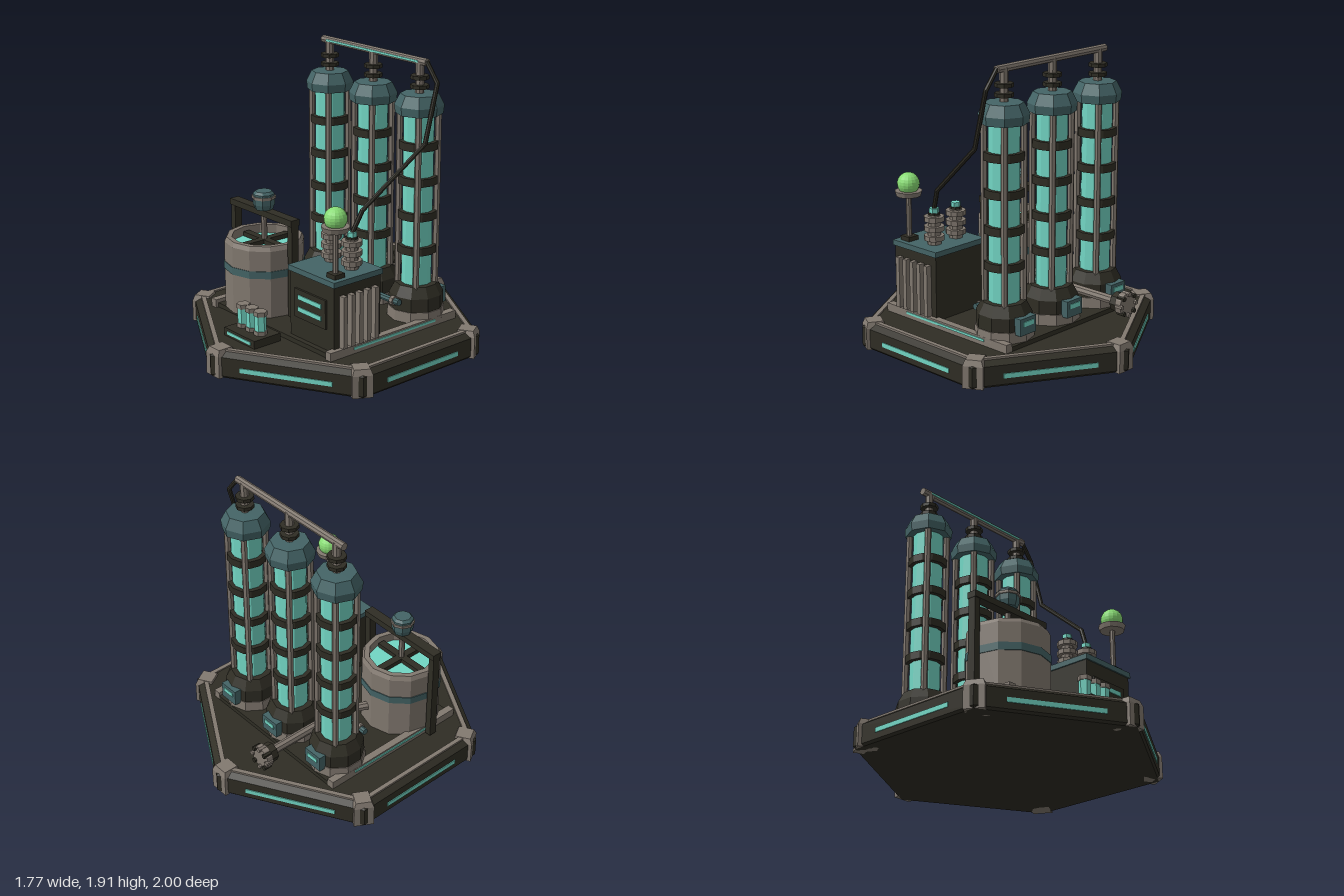
import * as THREE from 'three';

const mat = (name, color) => {
  const m = new THREE.MeshStandardMaterial({ color, flatShading: true });
  m.name = name;
  return m;
};

export function createModel() {
  const dark = mat('dark iron', 0x2f2d24);
  const grey = mat('warm grey metal', 0x827970);
  const slate = mat('slate teal', 0x446466);
  const glow = mat('glowing teal', 0x72d6c4);
  const green = mat('lamp green', 0x88dc74);

  const model = new THREE.Group();
  model.name = 'reactorStation';

  // ---- helpers
  const group = (name, parent, x = 0, y = 0, z = 0, ry = 0) => {
    const g = new THREE.Group();
    g.name = name;
    g.position.set(x, y, z);
    g.rotation.y = ry;
    parent.add(g);
    return g;
  };
  const add = (parent, name, geo, m, x = 0, y = 0, z = 0) => {
    const mesh = new THREE.Mesh(geo, m);
    mesh.name = name;
    mesh.position.set(x, y, z);
    parent.add(mesh);
    return mesh;
  };
  const box = (p, name, m, w, h, d, x, y, z) => add(p, name, new THREE.BoxGeometry(w, h, d), m, x, y, z);
  // vertical cylinder between heights y0 and y1
  const cyl = (p, name, m, r0, r1, y0, y1, sides, x = 0, z = 0) =>
    add(p, name, new THREE.CylinderGeometry(r1, r0, y1 - y0, sides), m, x, (y0 + y1) / 2, z);
  const lathe = (p, name, m, pts, sides, x = 0, y = 0, z = 0) =>
    add(p, name, new THREE.LatheGeometry(pts.map(([r, h]) => new THREE.Vector2(r, h)), sides), m, x, y, z);
  // straight rod between two points
  const rod = (p, name, m, a, b, r, sides = 8) => {
    const A = new THREE.Vector3(...a), B = new THREE.Vector3(...b);
    const mesh = add(p, name, new THREE.CylinderGeometry(r, r, A.distanceTo(B), sides), m);
    mesh.position.copy(A).lerp(B, 0.5);
    mesh.quaternion.setFromUnitVectors(new THREE.Vector3(0, 1, 0), B.sub(A).normalize());
    return mesh;
  };
  // bent pipe with a ball at each bend
  const pipe = (p, name, m, pts, r) => {
    for (let i = 1; i < pts.length; i++) {
      rod(p, name, m, pts[i - 1], pts[i], r);
      if (i < pts.length - 1) add(p, name + 'Joint', new THREE.SphereGeometry(r, 8, 6), m, ...pts[i]);
    }
  };

  // ---- hexagonal base
  const base = group('base', model);
  lathe(base, 'hexBody', dark, [[0, 0], [0.985, 0], [1, 0.015], [1, 0.14], [0.95, 0.17], [0, 0.17]], 6);
  for (let k = 0; k < 6; k++) {
    const corner = group('corner', base, 0, 0, 0, k * Math.PI / 3);
    const post = lathe(corner, 'cornerPost', grey, [[0, 0], [0.092, 0], [0.092, 0.145], [0.072, 0.183], [0, 0.183]], 4, 0, 0, 0.92);
    post.geometry.rotateY(Math.PI / 4);
    const side = group('side', base, 0, 0, 0, (k + 0.5) * Math.PI / 3);
    box(side, 'edgeTrim', grey, 0.86, 0.02, 0.03, 0, 0.17, 0.812);
    box(side, 'edgeLight', glow, 0.606, 0.03, 0.009, 0, 0.07, 0.867);
  }
  box(base, 'deck', dark, 1.14, 0.04, 1.06, 0, 0.18, -0.01);
  for (const s of [-1, 1]) {
    box(base, 'deckRail', grey, 0.05, 0.06, 1.08, s * 0.585, 0.195, 0);
    box(base, 'railLight', glow, 0.008, 0.015, 0.7, s * 0.612, 0.205, 0);
  }

  // ---- three glass columns
  const TZ = -0.35;
  for (const x of [-0.43, 0, 0.43]) {
    const t = group('column', model, x, 0, TZ);
    cyl(t, 'plinth', grey, 0.19, 0.185, 0.2, 0.27, 10);
    lathe(t, 'foot', dark, [[0.18, 0.26], [0.178, 0.36], [0.14, 0.43], [0, 0.43]], 10);
    cyl(t, 'glassTube', glow, 0.1, 0.1, 0.42, 1.57, 12);
    for (let i = 0; i < 4; i++) {
      const y = 0.665 + i * 0.23;
      cyl(t, 'clampRing', dark, 0.128, 0.128, y - 0.026, y + 0.026, 12);
    }
    for (const sx of [-1, 1]) for (const sz of [-1, 1])
      cyl(t, 'supportRod', grey, 0.021, 0.021, 0.41, 1.57, 6, sx * 0.086, sz * 0.086);
    lathe(t, 'cap', slate, [[0, 1.555], [0.152, 1.555], [0.158, 1.61], [0.122, 1.68], [0, 1.685]], 8);
    cyl(t, 'neck', grey, 0.028, 0.028, 1.67, 1.89, 8);
    for (const y of [1.725, 1.785]) cyl(t, 'neckDisc', dark, 0.06, 0.06, y - 0.012, y + 0.012, 8);
    box(t, 'valveBox', slate, 0.14, 0.11, 0.06, 0, 0.308, -0.175);
    box(t, 'valveLight', glow, 0.09, 0.03, 0.008, 0, 0.325, -0.206);
    rod(t, 'feedStub', grey, [0, 0.34, 0.13], [0, 0.34, 0.2], 0.02);
    rod(t, 'feedCollar', grey, [-0.015, 0.34, 0.2], [0.015, 0.34, 0.2], 0.032);
  }
  rod(model, 'topManifold', grey, [-0.495, 1.885, TZ], [0.495, 1.885, TZ], 0.025);
  box(model, 'manifoldLight', glow, 0.87, 0.014, 0.008, 0, 1.885, TZ + 0.024);
  rod(model, 'feedPipe', slate, [-0.485, 0.34, -0.15], [0.485, 0.34, -0.15], 0.022);

  // ---- drain pipe and hand valve
  const drain = group('drain', model);
  pipe(drain, 'drainPipe', grey, [[-0.22, 0.335, -0.76], [-0.22, 0.335, -0.12], [-0.31, 0.335, 0.08]], 0.03);
  rod(drain, 'drainFlange', dark, [-0.22, 0.335, -0.71], [-0.22, 0.335, -0.765], 0.065);
  rod(drain, 'valveWheel', grey, [-0.22, 0.335, -0.765], [-0.22, 0.335, -0.81], 0.08, 12);
  for (let i = 0; i < 8; i++) {
    const a = i * Math.PI / 4, x = -0.22 + 0.07 * Math.sin(a), y = 0.335 + 0.07 * Math.cos(a);
    rod(drain, 'wheelBolt', i % 2 ? dark : grey, [x, y, -0.77], [x, y, -0.825], 0.016, 6);
  }

  // ---- mixing tank
  const tank = group('mixingTank', model, -0.35, 0, 0.288);
  lathe(tank, 'tankWall', grey, [[0, 0.2], [0.265, 0.2], [0.265, 0.655], [0.25, 0.685], [0.215, 0.685], [0.215, 0.6]], 12);
  cyl(tank, 'tankBand', slate, 0.27, 0.27, 0.47, 0.52, 12);
  cyl(tank, 'liquid', glow, 0.216, 0.216, 0.55, 0.625, 12);
  cyl(tank, 'stirrerShaft', grey, 0.02, 0.02, 0.6, 0.83, 8);
  box(tank, 'stirrerBladeLong', dark, 0.05, 0.03, 0.39, 0, 0.645, 0);
  box(tank, 'stirrerBladeCross', dark, 0.39, 0.03, 0.05, 0, 0.645, 0);
  box(tank, 'frameBeam', dark, 0.645, 0.042, 0.068, 0, 0.844, 0);
  for (const s of [-1, 1]) box(tank, 'frameLeg', dark, 0.043, 0.64, 0.055, s * 0.298, 0.51, 0);
  lathe(tank, 'stirrerMotor', slate, [[0, 0.865], [0.06, 0.865], [0.072, 0.9], [0.072, 0.97], [0.055, 0.987], [0, 0.987]], 8);
  cyl(tank, 'motorRing', grey, 0.08, 0.08, 0.938, 0.956, 8);

  // ---- generator
  const gen = group('generator', model, 0.37, 0, 0.295);
  box(gen, 'housing', dark, 0.42, 0.44, 0.38, 0, 0.415, 0);
  box(gen, 'lid', slate, 0.44, 0.036, 0.4, 0, 0.648, 0);
  box(gen, 'controlPanel', dark, 0.295, 0.19, 0.02, -0.005, 0.435, 0.194);
  for (const y of [0.4, 0.48]) box(gen, 'panelLight', glow, 0.222, 0.03, 0.008, -0.005, y, 0.206);
  for (let i = -2; i <= 2; i++) box(gen, 'coolingFin', grey, 0.045, 0.34, 0.032, 0.226, 0.397, i * 0.065);
  for (const x of [-0.1, 0.092]) {
    const ins = group('insulator', gen, x, 0, -0.055);
    cyl(ins, 'insulatorCore', grey, 0.045, 0.04, 0.66, 0.86, 10);
    for (const y of [0.71, 0.773, 0.836]) cyl(ins, 'insulatorDisc', grey, 0.067, 0.067, y - 0.016, y + 0.016, 10);
    cyl(ins, 'insulatorCollar', dark, 0.038, 0.038, 0.85, 0.875, 8);
    cyl(ins, 'terminal', glow, 0.032, 0.032, 0.87, 0.905, 6);
  }

  // ---- signal lamp
  const lamp = group('signalLamp', model, 0.515, 0, 0.418);
  box(lamp, 'lampFoot', dark, 0.08, 0.03, 0.08, 0, 0.68, 0);
  cyl(lamp, 'lampPost', grey, 0.018, 0.018, 0.68, 0.97, 8);
  cyl(lamp, 'lampDish', grey, 0.08, 0.09, 0.963, 0.997, 12);
  add(lamp, 'lampGlobe', new THREE.SphereGeometry(0.073, 16, 12), green, 0, 1.043, 0);

  // ---- power cable
  pipe(model, 'powerCable', dark, [[0.49, 1.89, TZ], [0.585, 1.77, TZ], [0.585, 1.4, -0.255],
    [0.49, 1.035, 0.18], [0.462, 0.89, 0.24]], 0.015);

  // ---- vial rack
  const rack = group('vialRack', model, 0, 0, 0.67);
  box(rack, 'rackBase', dark, 0.31, 0.06, 0.21, 0, 0.193, 0);
  box(rack, 'rackLight', glow, 0.24, 0.02, 0.008, 0, 0.196, 0.106);
  for (const x of [-0.087, 0, 0.087]) {
    const v = group('vial', rack, x, 0, 0, Math.PI / 6);
    cyl(v, 'vialBottom', grey, 0.044, 0.044, 0.22, 0.25, 6);
    cyl(v, 'vialGlass', glow, 0.038, 0.038, 0.25, 0.35, 6);
    cyl(v, 'vialTop', grey, 0.044, 0.044, 0.35, 0.38, 6);
  }

  return model;
}
